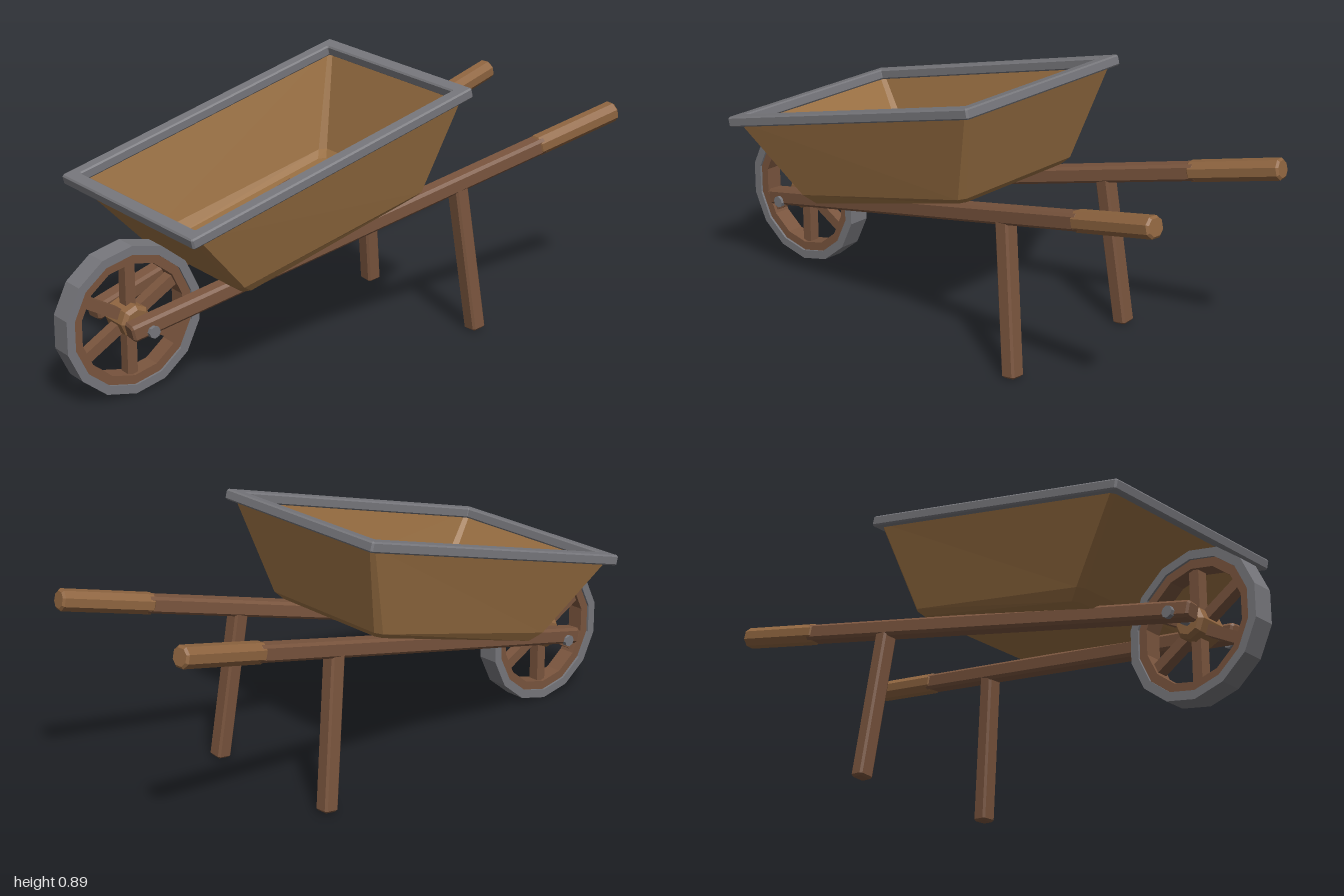
import * as THREE from 'three';

const mat = (name, color, extra = {}) => {
  const m = new THREE.MeshStandardMaterial({ color, flatShading: true, ...extra });
  m.name = name;
  return m;
};
const V = (x, y, z) => new THREE.Vector3(x, y, z);

// Rectangle with cut corners, centred on the origin
function cutRect(w, h, c) {
  const x = w / 2, y = h / 2;
  return [[x - c, -y], [x, -y + c], [x, y - c], [x - c, y], [-x + c, y], [-x, y - c], [-x, -y + c], [-x + c, -y]]
    .map(([px, py]) => new THREE.Vector2(px, py));
}

// Chamfered timber running from a to b
function beam(name, a, b, w, h, cut, material, up = V(0, 1, 0)) {
  const e = 0.007;
  const geo = new THREE.ExtrudeGeometry(new THREE.Shape(cutRect(w, h, cut)), {
    depth: a.distanceTo(b) - 2 * e, bevelSize: e, bevelThickness: e, bevelOffset: -e, bevelSegments: 1,
  });
  geo.translate(0, 0, e);
  const mesh = new THREE.Mesh(geo, material);
  mesh.name = name;
  mesh.up.copy(up);
  mesh.position.copy(a);
  mesh.lookAt(b);
  return mesh;
}

// Turned part around the x axis from [radius, x] points
function turned(name, pts, sides, material) {
  const geo = new THREE.LatheGeometry(pts.map(([r, x]) => new THREE.Vector2(r, x)), sides, Math.PI / 2);
  geo.rotateZ(Math.PI / 2);
  const mesh = new THREE.Mesh(geo, material);
  mesh.name = name;
  return mesh;
}
const band = (outer, inner, w) => [[inner, -w], [outer, -w], [outer, w], [inner, w], [inner, -w]];

// Open tub lofted through sloping, corner-cut rings
function trayGeometry() {
  const rings = [ // half width, front z, front y, back z, back y, corner cut
    [0.352, 0.74, 0.602, -0.3, 0.862, 0.012],
    [0.275, 0.53, 0.37, -0.21, 0.54, 0.02],
    [0.252, 0.49, 0.343, -0.19, 0.517, 0.02],
  ];
  const pos = [], idx = [];
  for (const [hx, zf, yf, zb, yb, c] of rings) {
    for (const p of cutRect(hx * 2, zf - zb, c)) {
      const z = p.y + (zf + zb) / 2;
      pos.push(p.x, yf + (yb - yf) * (zf - z) / (zf - zb), z);
    }
  }
  for (let r = 0; r < 2; r++) {
    for (let i = 0; i < 8; i++) {
      const a = r * 8 + i, b = r * 8 + (i + 1) % 8;
      idx.push(a, b, a + 8, b, b + 8, a + 8);
    }
  }
  for (let i = 1; i < 7; i++) idx.push(16, 16 + i, 17 + i); // floor
  const geo = new THREE.BufferGeometry();
  geo.setAttribute('position', new THREE.Float32BufferAttribute(pos, 3));
  geo.setIndex(idx);
  geo.computeVertexNormals();
  return geo;
}

export function createModel() {
  const trayWood = mat('tray wood', 0x9a7043, { side: THREE.DoubleSide });
  const frameWood = mat('frame wood', 0x7a553e);
  const gripWood = mat('grip wood', 0x8f6540);
  const iron = mat('iron', 0x77777c);
  const model = new THREE.Group();
  model.name = 'wheelbarrow';

  // Tray
  const tray = new THREE.Mesh(trayGeometry(), trayWood);
  tray.name = 'tray';
  model.add(tray);

  // Iron rim around the top of the tray
  const rimShape = new THREE.Shape(cutRect(0.744, 1.11, 0.006));
  rimShape.holes.push(new THREE.Path(cutRect(0.65, 1.016, 0.002).reverse()));
  const rimGeo = new THREE.ExtrudeGeometry(rimShape, {
    depth: 0.025, bevelSize: 0.005, bevelThickness: 0.005, bevelOffset: -0.005, bevelSegments: 1,
  });
  rimGeo.translate(0, 0, -0.0125).rotateX(-Math.PI / 2);
  const rim = new THREE.Mesh(rimGeo, iron);
  rim.name = 'trayRim';
  rim.position.set(0, 0.735, 0.2225);
  rim.rotation.x = 0.2472;
  model.add(rim);

  // Handles, grips and legs on both sides
  for (const s of [-1, 1]) {
    const side = s > 0 ? 'left' : 'right';
    const front = V(s * 0.107, 0.248, 0.825), back = V(s * 0.322, 0.672, -0.993);
    const at = (t) => front.clone().lerp(back, t);
    model.add(
      beam(side + 'Shaft', front, at(0.84), 0.06, 0.055, 0.009, frameWood),
      beam(side + 'Grip', at(0.825), back, 0.068, 0.066, 0.019, gripWood),
      beam(side + 'Leg', V(s * 0.248, 0.515, -0.365), V(s * 0.283, 0.004, -0.427), 0.055, 0.052, 0.007,
        frameWood, V(0, 0, 1)),
    );
  }

  // Wheel
  const wheel = new THREE.Group();
  wheel.name = 'wheel';
  wheel.position.set(0, 0.25, 0.762);
  wheel.add(
    turned('tyre', band(0.2475, 0.218, 0.038), 14, iron),
    turned('woodenRim', band(0.222, 0.188, 0.03), 14, frameWood),
    turned('hub', [[0, -0.058], [0.042, -0.058], [0.054, -0.046], [0.054, 0.046], [0.042, 0.058], [0, 0.058]], 8, gripWood),
    turned('axle', [[0, -0.145], [0.014, -0.145], [0.014, 0.145], [0, 0.145]], 8, iron),
  );
  for (let i = 0; i < 6; i++) {
    const geo = new THREE.BoxGeometry(0.038, 0.165, 0.036).translate(0, 0.12, 0);
    const spoke = new THREE.Mesh(geo, frameWood);
    spoke.name = 'spoke';
    spoke.rotation.x = i * Math.PI / 3;
    wheel.add(spoke);
  }
  for (const s of [-1, 1]) {
    const x = s * 0.148, w = 0.008;
    wheel.add(turned('axleNut', [[0, x - w], [0.02, x - w], [0.02, x + w], [0, x + w]], 8, iron));
  }
  model.add(wheel);
  return model;
}
